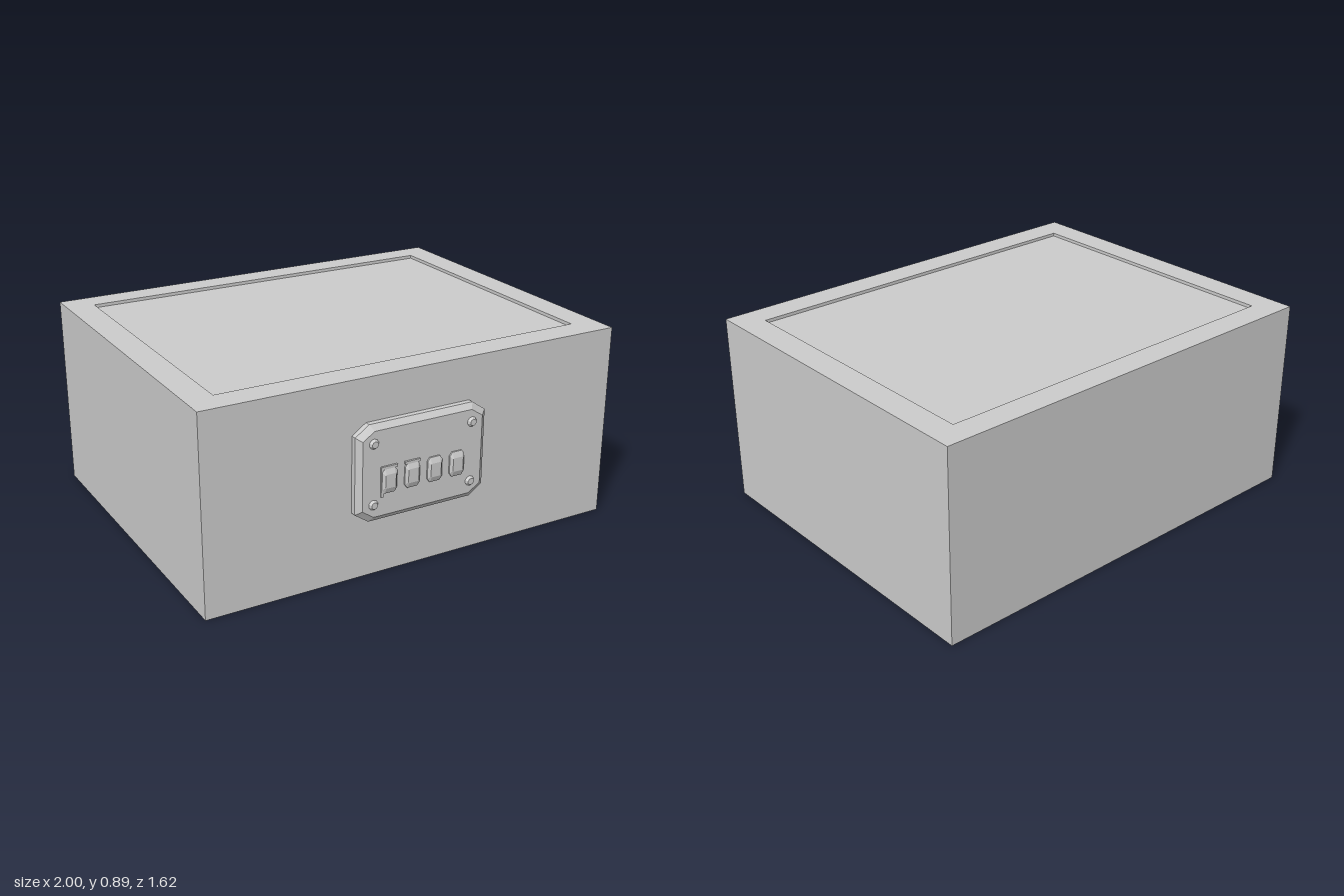
import * as THREE from 'three';

const mat = new THREE.MeshStandardMaterial({ color: 0xcccccc, flatShading: true });

// Rectangle outline with cut corners, counter-clockwise seen from +z
function outline(w, h, cx, cy) {
  const x = w / 2, y = h / 2;
  return [[x, -y + cy], [x, y - cy], [x - cx, y], [-x + cx, y],
    [-x, y - cy], [-x, -y + cy], [-x + cx, -y], [x - cx, -y]];
}

// Bevelled plate lofted along z through layers of [width, height, cutX, cutY, z]
function bevelledPlate(layers) {
  const rings = layers.map(([w, h, cx, cy, z]) => outline(w, h, cx, cy).map(p => [...p, z]));
  const pos = [];
  for (let k = 0; k < rings.length - 1; k++) {
    for (let i = 0; i < 8; i++) {
      const j = (i + 1) % 8, a = rings[k], b = rings[k + 1];
      pos.push(...a[i], ...a[j], ...b[j], ...a[i], ...b[j], ...b[i]);
    }
  }
  const back = rings[0], front = rings[rings.length - 1];
  for (let i = 1; i < 7; i++) {
    pos.push(...front[0], ...front[i], ...front[i + 1]);
    pos.push(...back[0], ...back[i + 1], ...back[i]);
  }
  const g = new THREE.BufferGeometry();
  g.setAttribute('position', new THREE.Float32BufferAttribute(pos, 3));
  g.computeVertexNormals();
  return g;
}

export function createModel() {
  const group = new THREE.Group();
  const add = (name, geometry, x = 0, y = 0, z = 0, parent = group) => {
    const m = new THREE.Mesh(geometry, mat);
    m.name = name;
    m.position.set(x, y, z);
    parent.add(m);
    return m;
  };

  // Case: solid body with a raised rim around a sunken top panel
  const zBack = -0.81, zFront = 0.753, top = 0.895, panelY = 0.88;
  add('caseBody', new THREE.BoxGeometry(2, panelY, zFront - zBack), 0, panelY / 2, (zFront + zBack) / 2);

  const rect = (path, x0, y0, x1, y1) =>
    path.moveTo(x0, y0).lineTo(x1, y0).lineTo(x1, y1).lineTo(x0, y1).closePath();
  const rim = new THREE.Shape();
  rect(rim, -1, -zFront, 1, -zBack);
  const opening = new THREE.Path();
  rect(opening, -0.875, -0.625, 0.875, 0.69);
  rim.holes.push(opening);
  const rimGeo = new THREE.ExtrudeGeometry(rim, { depth: top - panelY, bevelEnabled: false });
  rimGeo.rotateX(-Math.PI / 2);
  add('topRim', rimGeo, 0, panelY, 0);

  // Combination lock on the front
  const lock = new THREE.Group();
  lock.name = 'combinationLock';
  lock.position.set(-0.013, 0.483, zFront);
  group.add(lock);
  add('lockPlate', bevelledPlate([
    [0.635, 0.435, 0.065, 0.045, -0.005],
    [0.635, 0.435, 0.065, 0.045, 0.025],
    [0.585, 0.385, 0.055, 0.037, 0.045],
  ]), 0, 0, 0, lock);

  // Rivets in the four corners
  const rivetGeo = new THREE.CylinderGeometry(0.015, 0.024, 0.014, 10);
  rivetGeo.rotateX(Math.PI / 2);
  for (const x of [-0.24, 0.24]) {
    for (const y of [-0.136, 0.137]) add('rivet', rivetGeo, x, y, 0.05, lock);
  }

  // Number dials
  const dialGeo = bevelledPlate([
    [0.072, 0.112, 0.012, 0.016, 0],
    [0.072, 0.112, 0.012, 0.016, 0.008],
    [0.05, 0.062, 0.004, 0.004, 0.018],
  ]);
  for (let i = 0; i < 4; i++) add('dial', dialGeo, -0.167 + i * 0.111, -0.036, 0.044, lock);

  // Lips over the first two dials and the flange beside the first
  for (let i = 0; i < 2; i++) {
    add('dialLip', new THREE.BoxGeometry(0.074, 0.012, 0.012), -0.167 + i * 0.111, 0.023, 0.048, lock);
  }
  add('dialFlange', new THREE.BoxGeometry(0.014, 0.135, 0.01), -0.2, -0.04, 0.047, lock);

  return group;
}
